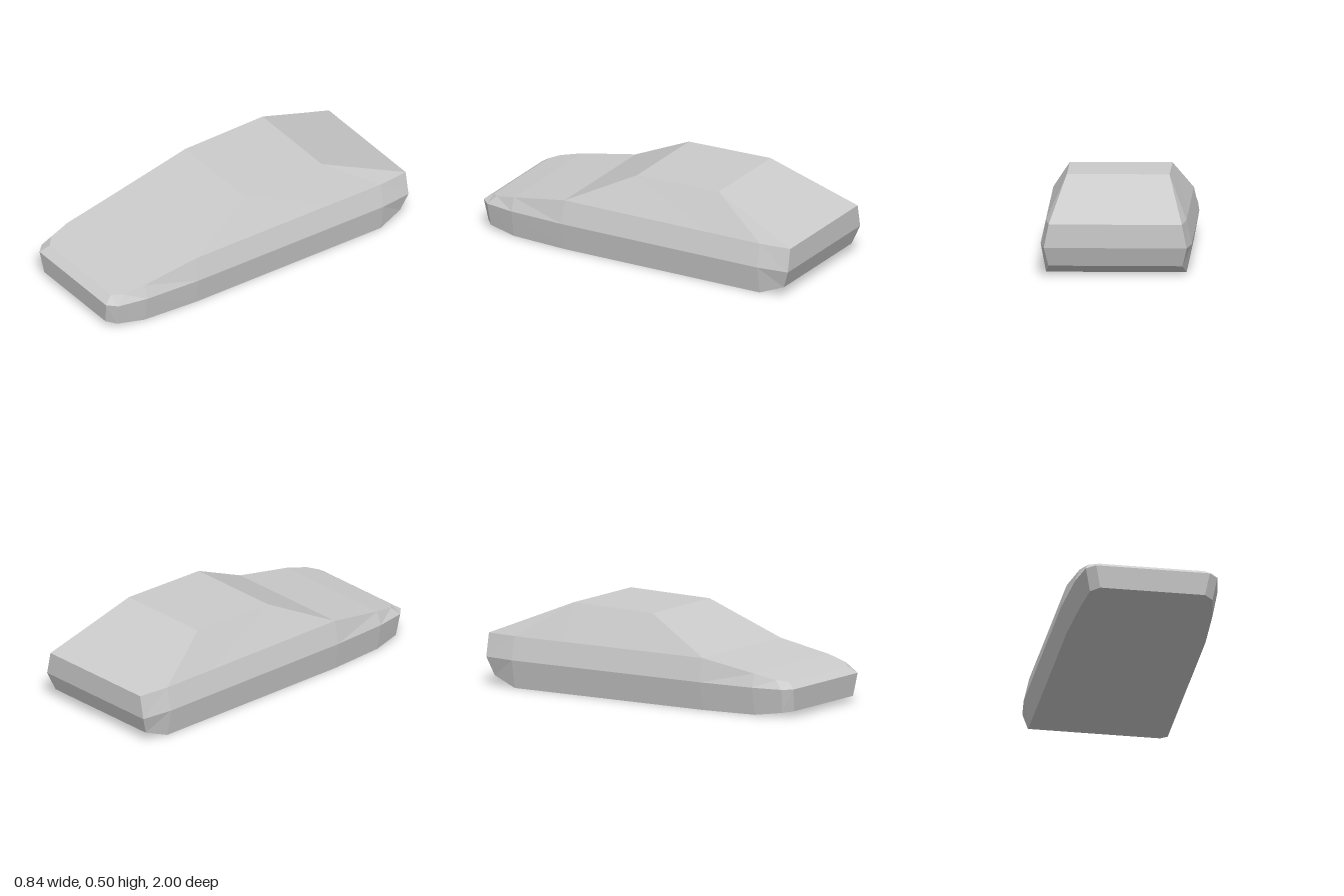
import * as THREE from 'three';

// Cross-sections from nose to tail; each lists the left half as
// sill, waist, shoulder and roof rail points [x, y, z].
const front = (sill, waist, shoulder) => [sill, waist, shoulder, shoulder];
const middle = (z, roof) => [[0.39, 0, z], [0.42, 0.16, z], [0.39, 0.292, z], roof];

const sections = [
  front([0.295, 0.032, 0.985], [0.32, 0.16, 1], [0.295, 0.196, 0.948]),
  front([0.345, 0.026, 0.94], [0.37, 0.16, 0.95], [0.348, 0.207, 0.9]),
  front([0.372, 0.003, 0.775], [0.402, 0.16, 0.775], [0.373, 0.235, 0.775]),
  middle(0.44, [0.39, 0.292, 0.44]),
  middle(0.035, [0.285, 0.49, 0.035]),
  middle(-0.49, [0.285, 0.5, -0.49]),
  middle(-0.815, [0.339, 0.367, -0.815]),
  front([0.372, 0.055, -0.96], [0.397, 0.16, -1], [0.37, 0.292, -1]),
];

function loftBody() {
  const positions = [];
  const triangle = (a, b, c) => {
    const [p, q, r] = [a, b, c].map((v) => new THREE.Vector3(...v));
    const area = q.clone().sub(p).cross(r.clone().sub(p)).length();
    if (area > 1e-7) positions.push(...a, ...b, ...c);
  };

  // Full loop: up the left side, across the roof and down the right
  const rings = sections.map((half) => [
    ...half,
    ...half.slice().reverse().map(([x, y, z]) => [-x, y, z]),
  ]);

  // Skin between neighbouring sections, with mirrored diagonals
  for (let i = 0; i < rings.length - 1; i++) {
    for (let j = 0; j < 8; j++) {
      const k = (j + 1) % 8;
      const a = rings[i][j], b = rings[i][k];
      const c = rings[i + 1][k], d = rings[i + 1][j];
      if (j < 4) {
        triangle(a, d, b);
        triangle(d, c, b);
      } else {
        triangle(a, d, c);
        triangle(a, c, b);
      }
    }
  }

  // Nose and tail panels, in bands below and above the waist
  const nose = rings[0], tail = rings[rings.length - 1];
  for (let j = 0; j < 2; j++) {
    triangle(nose[j], nose[j + 1], nose[6 - j]);
    triangle(nose[j], nose[6 - j], nose[7 - j]);
    triangle(tail[j], tail[6 - j], tail[j + 1]);
    triangle(tail[j], tail[7 - j], tail[6 - j]);
  }

  const geometry = new THREE.BufferGeometry();
  geometry.setAttribute('position', new THREE.Float32BufferAttribute(positions, 3));
  geometry.computeVertexNormals();
  return geometry;
}

export function createModel() {
  const model = new THREE.Group();
  model.name = 'car';
  const material = new THREE.MeshStandardMaterial({ color: 0xcccccc, flatShading: true });
  const body = new THREE.Mesh(loftBody(), material);
  body.name = 'carBody';
  model.add(body);
  return model;
}
